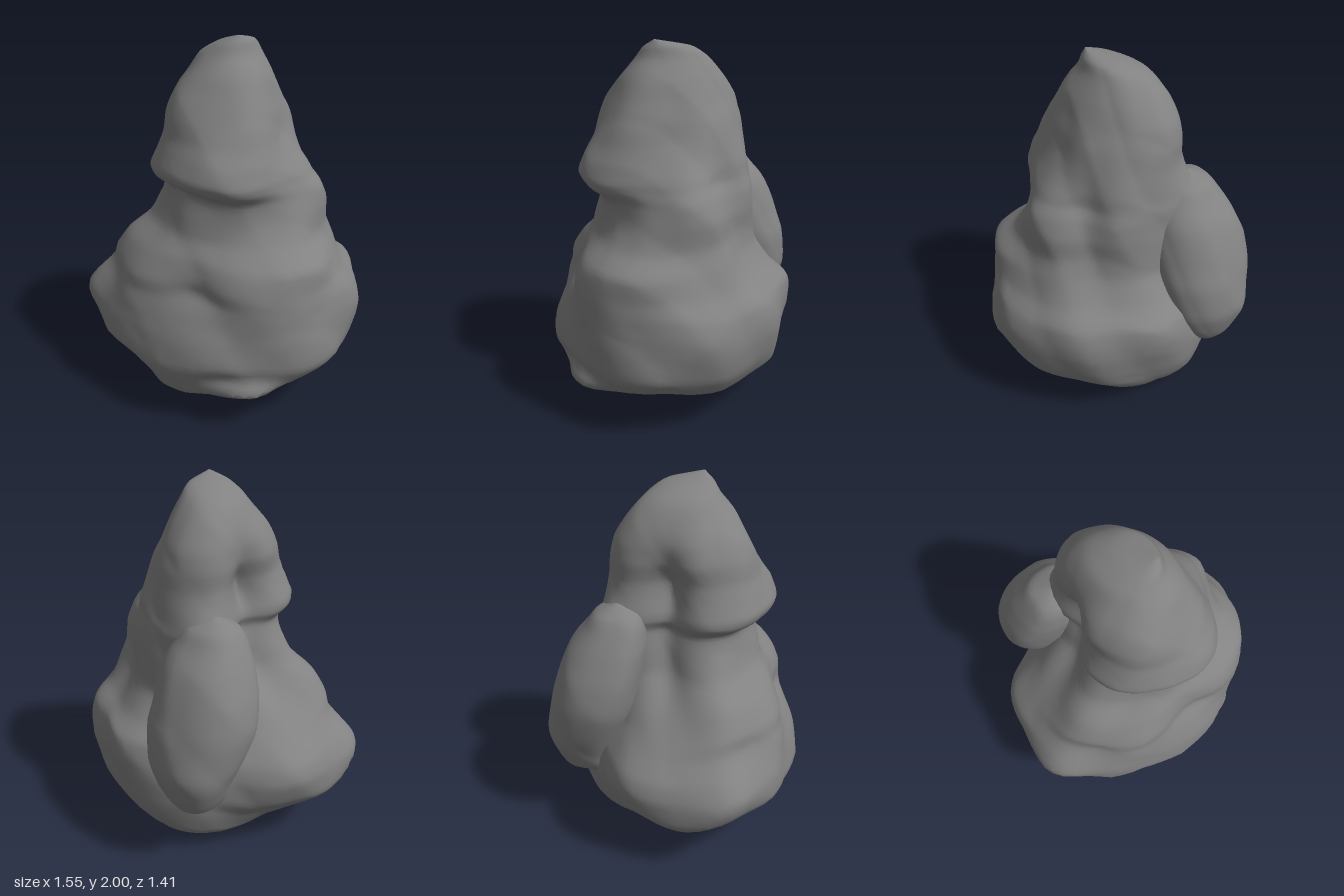
import * as THREE from 'three';
import { toCreasedNormals } from 'three/addons/utils/BufferGeometryUtils.js';

const material = new THREE.MeshStandardMaterial({ color: 0x828282 });
const SIDES = 72, STEPS = 4;

// Folded waves give broad facets with soft ridges between them.
const fold = (t) => Math.abs(((t % 2) + 2) % 2 - 1) - 0.5;
function roughness(x, y, z) {
  return 0.035 * fold(1.9 * x + 1.3 * y - 1.1 * z + 0.3)
    + 0.03 * fold(-1.6 * x + 2.3 * y + 2.2 * z)
    + 0.025 * fold(3.7 * x - 2.1 * y + 3.1 * z + 0.7)
    + 0.012 * Math.sin(9 * x + 5 * y) * Math.cos(8 * z - 6 * y);
}

// Smooth blend through four neighbouring values.
function blend(a, b, c, d, t) {
  const m0 = (c - a) * 0.35, m1 = (d - b) * 0.35, t2 = t * t, t3 = t2 * t;
  return (2 * t3 - 3 * t2 + 1) * b + (t3 - 2 * t2 + t) * m0 + (3 * t2 - 2 * t3) * c + (t3 - t2) * m1;
}

// Rows are [y, xMin, xMax, zMin, zMax]; dents are [x, y, z, radius, height, depth].
function rock(name, rows, power, dents, rough) {
  const pos = [], index = [];
  const last = rows.length - 1, count = last * STEPS + 1;
  for (let j = 0; j < count; j++) {
    const k = Math.min(Math.floor(j / STEPS), last - 1);
    const before = rows[Math.max(0, k - 1)], after = rows[Math.min(last, k + 2)];
    const [y, x0, x1, z0, z1] = rows[k].map((v, n) =>
      blend(before[n], v, rows[k + 1][n], after[n], j / STEPS - k));
    const cx = (x0 + x1) / 2, cz = (z0 + z1) / 2;
    const rx = (x1 - x0) / 2, rz = (z1 - z0) / 2;
    for (let i = 0; i < SIDES; i++) {
      const a = (i / SIDES) * Math.PI * 2, c = Math.cos(a), s = Math.sin(a);
      const r = Math.pow(Math.pow(Math.abs(c), power) + Math.pow(Math.abs(s), power), -1 / power);
      const dx = c * r * rx, dz = s * r * rz;
      const x = cx + dx, z = cz + dz, len = Math.hypot(dx, dz);
      let push = rough * roughness(x, y, z) * Math.min(1, len / 0.25);
      for (const [px, py, pz, pr, ph, depth] of dents) {
        const d = ((x - px) ** 2 + (z - pz) ** 2) / (pr * pr) + ((y - py) / ph) ** 2;
        push -= depth * Math.exp(-d);
      }
      const f = len > 0.001 ? Math.max(0.1, 1 + push / len) : 0;
      const lift = 0.6 * rough * roughness(z, x, 0.3 * y) * Math.min(1, len / 0.5);
      pos.push(cx + dx * f, Math.max(0, y + lift), cz + dz * f);
      if (j < count - 1) {
        const p = j * SIDES + i, q = j * SIDES + (i + 1) % SIDES;
        if (j < count - 2) index.push(p, p + SIDES, q + SIDES);
        if (j > 0) index.push(p, q + SIDES, q);
        if (j === count - 2) index.push(p, p + SIDES, q);
      }
    }
  }
  const geometry = new THREE.BufferGeometry();
  geometry.setAttribute('position', new THREE.Float32BufferAttribute(pos, 3));
  geometry.setIndex(index);
  const mesh = new THREE.Mesh(toCreasedNormals(geometry, 0.7), material);
  mesh.name = name;
  return mesh;
}

export function createModel() {
  const group = new THREE.Group();
  group.name = 'rock';

  // Wide foot, neck and tall cap, with a slanted underside and a brow in front
  group.add(rock('crag', [
    [0, 0.05, 0.05, -0.27, -0.27],
    [0.05, -0.26, 0.26, -0.43, -0.05],
    [0.11, -0.4, 0.4, -0.52, 0.42],
    [0.17, -0.5, 0.5, -0.56, 0.63],
    [0.26, -0.65, 0.66, -0.59, 0.66],
    [0.36, -0.76, 0.74, -0.61, 0.69],
    [0.5, -0.78, 0.76, -0.62, 0.67],
    [0.6, -0.74, 0.76, -0.61, 0.64],
    [0.7, -0.64, 0.74, -0.58, 0.61],
    [0.78, -0.57, 0.7, -0.5, 0.6],
    [0.9, -0.47, 0.67, -0.43, 0.55],
    [1.0, -0.38, 0.6, -0.42, 0.47],
    [1.12, -0.34, 0.57, -0.42, 0.43],
    [1.22, -0.32, 0.52, -0.41, 0.41],
    [1.28, -0.35, 0.48, -0.4, 0.49],
    [1.33, -0.35, 0.46, -0.39, 0.51],
    [1.42, -0.32, 0.41, -0.38, 0.47],
    [1.5, -0.3, 0.37, -0.37, 0.42],
    [1.6, -0.3, 0.33, -0.36, 0.38],
    [1.7, -0.26, 0.28, -0.33, 0.34],
    [1.8, -0.2, 0.24, -0.26, 0.29],
    [1.9, -0.13, 0.19, -0.17, 0.22],
    [1.96, -0.02, 0.17, -0.08, 0.18],
    [2, 0.13, 0.13, 0.12, 0.12],
  ], 2.2, [
    // cut-away back corner
    [-0.5, 0.55, -0.45, 0.3, 0.6, 0.12],
    [-0.68, 0.5, -0.25, 0.25, 0.4, 0.06],
    // gully above it
    [-0.3, 1.46, -0.06, 0.15, 0.27, 0.18],
    [-0.42, 1.0, -0.02, 0.13, 0.22, 0.08],
    [-0.2, 1.3, -0.33, 0.14, 0.15, -0.05],
    // hollow and swelling beside the neck
    [0.42, 1.1, 0.3, 0.15, 0.12, 0.05],
    [-0.4, 0.95, 0.3, 0.18, 0.2, -0.06],
    // upright groove and rib on the flank, full cheek on the cap
    [0.4, 1.25, -0.27, 0.14, 0.4, 0.07],
    [0.5, 1.2, 0, 0.1, 0.25, -0.03],
    [0.27, 1.58, 0.26, 0.16, 0.2, -0.05],
    // slot in the front
    [0.15, 0.74, 0.58, 0.13, 0.05, 0.03],
    // jutting front corner with an undercut rim beside it
    [0.46, 0.18, 0.54, 0.18, 0.09, -0.13],
    [0.32, 0.3, 0.62, 0.12, 0.05, 0.03],
    [-0.35, 0.15, 0.5, 0.32, 0.12, 0.15],
    // side corner
    [-0.64, 0.47, 0.38, 0.18, 0.13, -0.07],
    [0.5, 0.85, -0.35, 0.2, 0.15, 0.04],
  ], 1));

  // Long upright boulder against the back
  group.add(rock('backBoulder', [
    [0.34, -0.28, -0.28, -0.5, -0.5],
    [0.4, -0.4, -0.15, -0.62, -0.3],
    [0.52, -0.46, -0.06, -0.67, -0.28],
    [0.65, -0.5, -0.01, -0.7, -0.24],
    [0.85, -0.53, 0.02, -0.67, -0.18],
    [1.02, -0.52, 0.02, -0.6, -0.14],
    [1.16, -0.47, 0, -0.53, -0.12],
    [1.27, -0.4, -0.05, -0.45, -0.14],
    [1.34, -0.34, -0.1, -0.4, -0.18],
    [1.39, -0.22, -0.22, -0.28, -0.28],
  ], 2.35, [], 0.8));

  return group;
}
